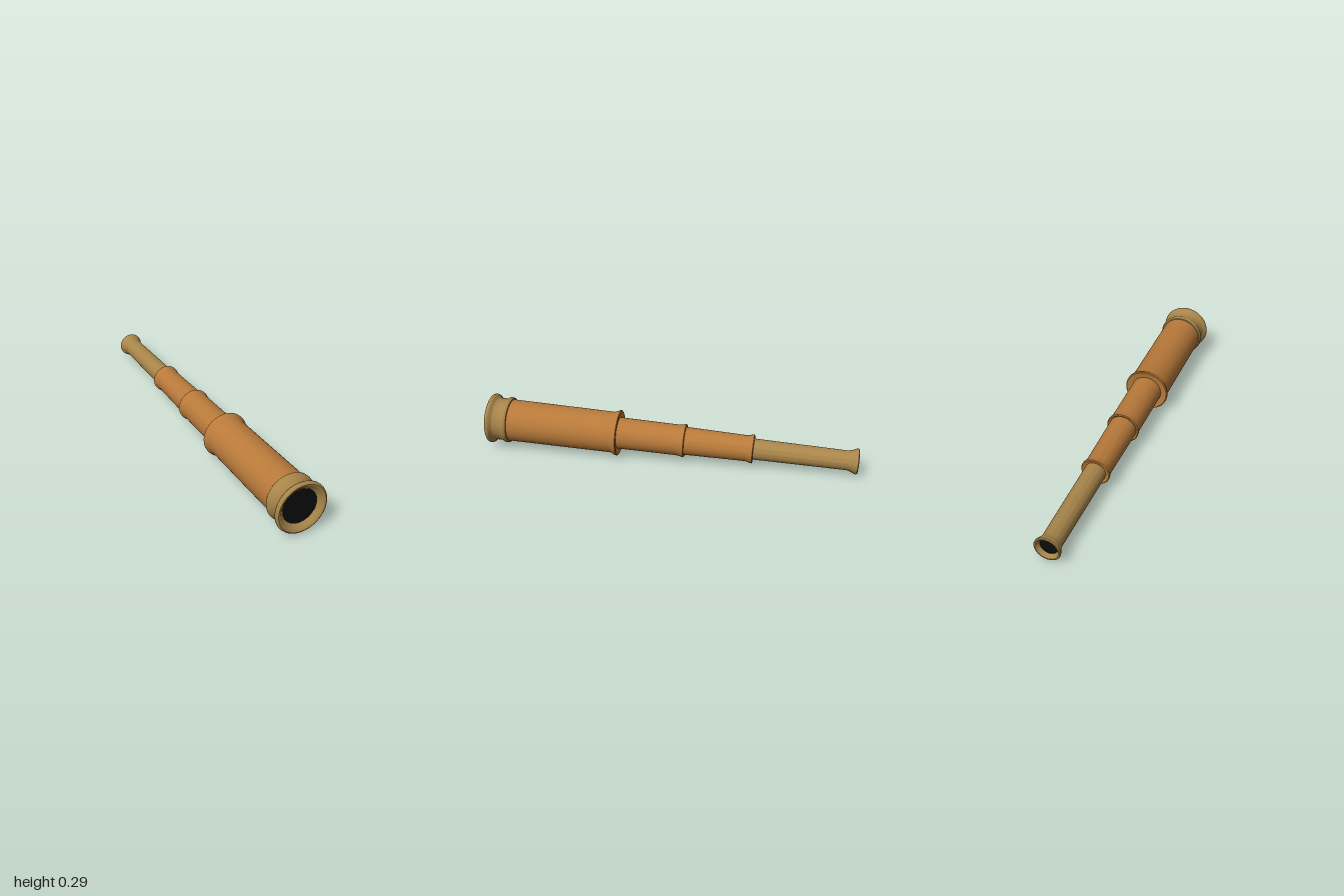
import * as THREE from 'three';
import { toCreasedNormals } from 'three/addons/utils/BufferGeometryUtils.js';

const copper = new THREE.MeshStandardMaterial({ color: 0xb87a3a });
const brass = new THREE.MeshStandardMaterial({ color: 0xa8854a });
const glass = new THREE.MeshStandardMaterial({ color: 0x0c0c0c });

// Turned part: profile of [radius, distance along the axis]
function turned(name, profile, material) {
  const points = profile.map(([r, t]) => new THREE.Vector2(r, t));
  const geometry = toCreasedNormals(new THREE.LatheGeometry(points, 48), 0.7);
  const mesh = new THREE.Mesh(geometry, material);
  mesh.name = name;
  return mesh;
}

// Telescoping tube with a flared lip at its narrow end
function drawTube(name, start, end, lip, r0, r1, inner) {
  return turned(name, [
    [inner, start + 0.006], [lip - 0.005, start], [lip, start + 0.004],
    [lip, start + 0.013], [lip - (lip - r0) * 0.6, start + 0.026],
    [r0, start + 0.042], [r1, end],
  ], copper);
}

function lens(name, radius, t, up) {
  const mesh = new THREE.Mesh(new THREE.CircleGeometry(radius, 48), glass);
  mesh.rotation.x = up ? -Math.PI / 2 : Math.PI / 2;
  mesh.position.y = t;
  mesh.name = name;
  return mesh;
}

export function createModel() {
  const group = new THREE.Group();
  group.name = 'spyglass';

  // Everything is turned about y, then laid along the sloping axis
  const small = new THREE.Vector3(-0.973, 0.08, -0.408);
  const large = new THREE.Vector3(0.945, 0.157, 0.335);
  const length = small.distanceTo(large);
  const body = new THREE.Group();
  body.name = 'body';
  body.position.copy(small);
  body.quaternion.setFromUnitVectors(
    new THREE.Vector3(0, 1, 0), large.clone().sub(small).normalize());
  group.add(body);

  // Eyepiece with flared mouth
  body.add(turned('eyepiece', [
    [0.046, 0.022], [0.052, 0.008], [0.06, 0], [0.066, 0], [0.07, 0.005],
    [0.069, 0.013], [0.063, 0.026], [0.057, 0.04], [0.053, 0.06], [0.058, 0.6],
  ], brass));
  body.add(lens('eyeLens', 0.047, 0.022, false));

  // Three drawn tubes, each wider than the last
  body.add(drawTube('innerTube', 0.56, 0.98, 0.079, 0.071, 0.078, 0.055));
  body.add(drawTube('middleTube', 0.936, 1.35, 0.092, 0.085, 0.088, 0.075));
  body.add(drawTube('mainTube', 1.308, 1.96, 0.127, 0.114, 0.118, 0.085));

  // Brass collar, neck and rounded rim around the front lens
  body.add(turned('frontCollar', [
    [0.115, 1.936], [0.124, 1.938], [0.129, 1.945], [0.13, 1.953],
    [0.127, 1.962], [0.121, 1.97], [0.119, 1.98], [0.119, 2.015],
    [0.124, 2.026], [0.134, 2.031], [0.139, 2.038], [0.14, 2.046],
    [0.137, 2.054], [0.13, length], [0.122, 2.057], [0.113, 2.05],
    [0.104, 2.04], [0.095, 2.034],
  ], brass));
  body.add(lens('frontLens', 0.097, 2.034, true));

  return group;
}
